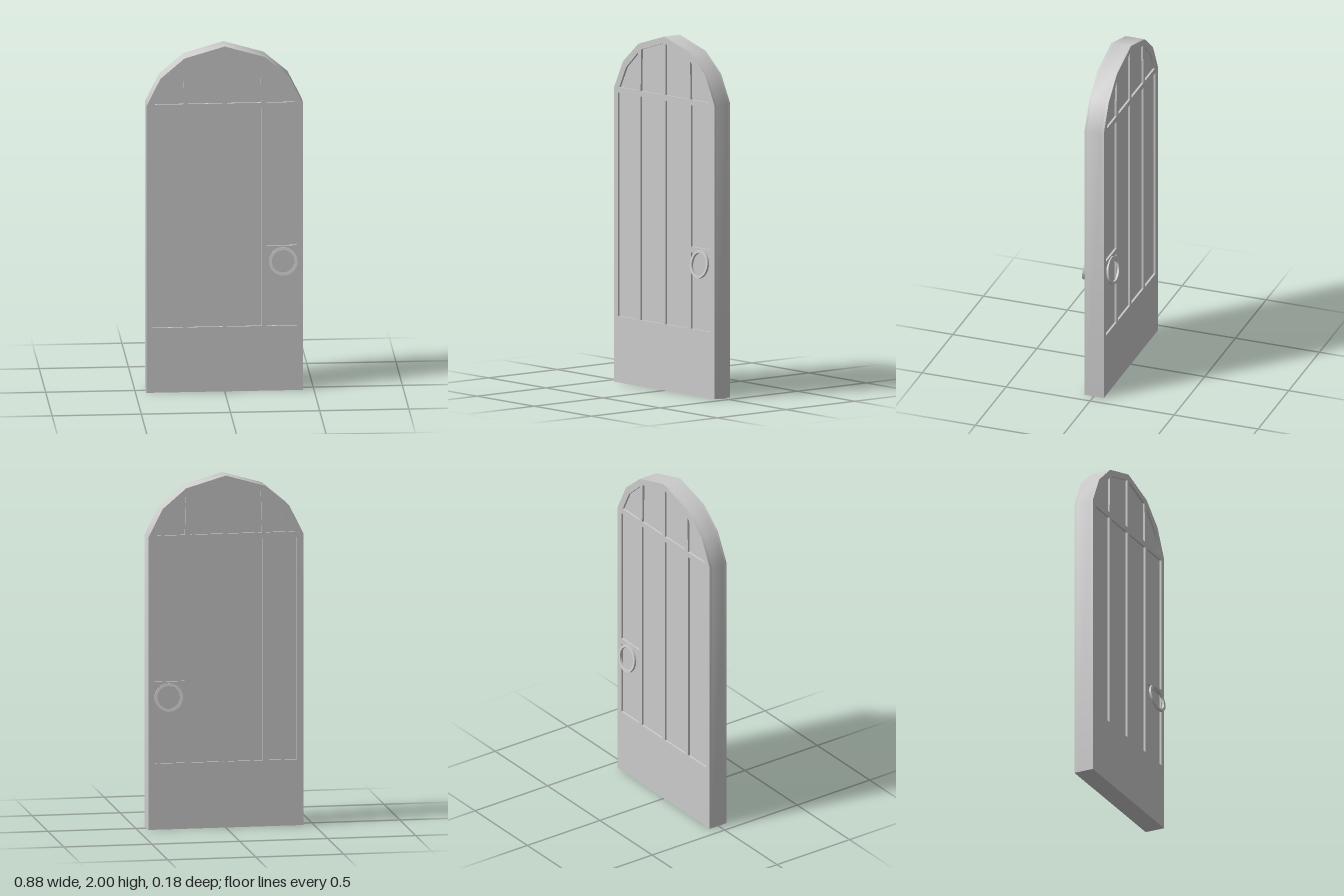
import * as THREE from 'three';
import { toCreasedNormals } from 'three/addons/utils/BufferGeometryUtils.js';

const material = new THREE.MeshStandardMaterial({ color: 0xcccccc });
const FRONT = 0.055, BACK = -0.06, RECESS = 0.012;

const points = (list) => list.map(([x, y]) => new THREE.Vector2(x, y));
const mirror = (list) => list.map(([x, y]) => [-x, y]).reverse();
const rect = (x0, x1, y0, y1) => [[x0, y0], [x1, y0], [x1, y1], [x0, y1]];

// Extrude a shape between two depths, smooth around gentle bends only
function slab(name, shape, z0, z1) {
  const geometry = new THREE.ExtrudeGeometry(shape, {
    depth: z1 - z0, bevelEnabled: false, curveSegments: 24,
  });
  geometry.translate(0, 0, z0);
  const mesh = new THREE.Mesh(toCreasedNormals(geometry, 0.65), material);
  mesh.name = name;
  return mesh;
}

// Faceted arch outline of the door
const rightEdge = [[0.44, 0], [0.44, 1.66], [0.36, 1.82], [0.225, 1.935]];
const outline = [...rightEdge, [0, 2], ...mirror(rightEdge)];
const doorShape = () => new THREE.Shape(points(outline));

// Openings of the frame, which leave the recessed panels
const outerLight = [[0.232, 1.67], [0.392, 1.67], [0.332, 1.79], [0.227, 1.885]];
const innerLight = [[0.012, 1.67], [0.205, 1.67], [0.2, 1.905], [0.012, 1.96]];
const innerPanel = rect(0.012, 0.208, 0.375, 1.638);
const openings = [
  outerLight, mirror(outerLight),
  innerLight, mirror(innerLight),
  innerPanel, mirror(innerPanel),
  rect(-0.405, -0.234, 0.375, 1.638),
  rect(0.234, 0.405, 0.84, 1.638),
  rect(0.234, 0.405, 0.375, 0.808),
];

function frameShape() {
  const shape = doorShape();
  for (const o of openings) shape.holes.push(new THREE.Path(points(o)));
  return shape;
}

// Flat pull ring hanging away from the door at its lower edge
function pullRing(name, side) {
  const shape = new THREE.Shape().absarc(0, 0, 0.08, 0, Math.PI * 2);
  shape.holes.push(new THREE.Path().absarc(0, 0, 0.064, 0, Math.PI * 2, true));
  const ring = slab(name, shape, -0.006, 0.006);
  ring.position.set(0.327, 0.752, side > 0 ? FRONT + 0.015 : BACK - 0.015);
  ring.rotation.set(-side * 0.16, -0.04, 0);
  return ring;
}

export function createModel() {
  const door = new THREE.Group();
  door.name = 'archedDoor';
  door.add(
    slab('panelCore', doorShape(), BACK + RECESS, FRONT - RECESS),
    slab('frontFrame', frameShape(), FRONT - RECESS, FRONT),
    slab('backFrame', frameShape(), BACK, BACK + RECESS),
    pullRing('frontPullRing', 1),
    pullRing('backPullRing', -1),
  );
  return door;
}
